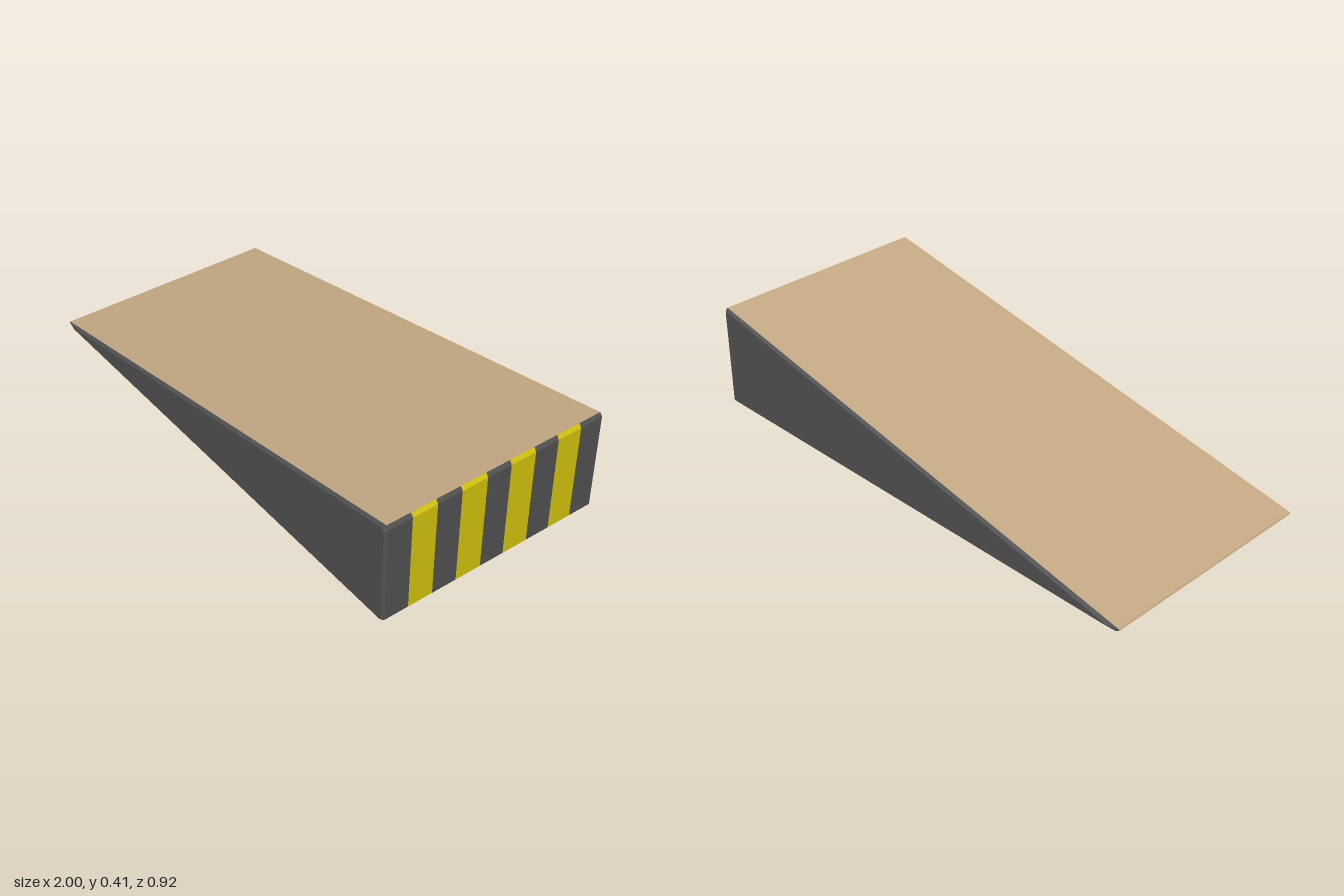
import * as THREE from 'three';

// Wedge profile (x, y), counter-clockwise seen from +z, and its bevelled inset
const RIM = [[-1, 0.008], [-0.985, 0], [0.99, 0], [1, 0.01], [1, 0.396], [0.99, 0.41], [-0.997, 0.014]];
const INSET = [[-0.955, 0.01], [-0.945, 0.008], [0.985, 0.008], [0.99, 0.013], [0.99, 0.39], [0.98, 0.398], [-0.95, 0.012]];
const RIM_Z = 0.45, SIDE_Z = 0.46;

// Flat-shaded mesh from convex polygons given as corner loops
function facesMesh(name, polygons, material) {
  const pos = [];
  for (const p of polygons)
    for (let i = 1; i < p.length - 1; i++) pos.push(...p[0], ...p[i], ...p[i + 1]);
  const geo = new THREE.BufferGeometry();
  geo.setAttribute('position', new THREE.Float32BufferAttribute(pos, 3));
  geo.computeVertexNormals();
  const mesh = new THREE.Mesh(geo, material);
  mesh.name = name;
  return mesh;
}

// Face swept from one profile edge across a range of z
function strip(edge, z0, z1) {
  const a = RIM[edge], b = RIM[(edge + 1) % RIM.length];
  return [[...a, z1], [...a, z0], [...b, z0], [...b, z1]];
}

// Side panel with its bevelled border; s = 1 front, -1 back
function side(s) {
  const at = (p, z) => [p[0], p[1], z * s];
  const polys = [INSET.map(p => at(p, SIDE_Z))];
  RIM.forEach((p, i) => {
    const j = (i + 1) % RIM.length;
    polys.push([at(p, RIM_Z), at(RIM[j], RIM_Z), at(INSET[j], SIDE_Z), at(INSET[i], SIDE_Z)]);
  });
  if (s < 0) polys.forEach(p => p.reverse());
  return polys;
}

export function createModel() {
  const mat = (name, color) => Object.assign(new THREE.MeshStandardMaterial({ color }), { name });
  const wood = mat('wood', 0xc4a984);
  const dark = mat('darkGrey', 0x505050);
  const yellow = mat('yellow', 0xd2c10d);

  const ramp = new THREE.Group();
  ramp.name = 'ramp';

  // Sloping deck, underside and thin leading edge
  ramp.add(facesMesh('deck', [strip(5, -RIM_Z, RIM_Z)], wood));
  ramp.add(facesMesh('underside', [strip(1, -RIM_Z, RIM_Z)], wood));
  ramp.add(facesMesh('leadingEdge', [strip(6, -RIM_Z, RIM_Z), strip(0, -RIM_Z, RIM_Z)], wood));

  // Bevelled side panels
  ramp.add(facesMesh('frontSide', side(1), dark));
  ramp.add(facesMesh('backSide', side(-1), dark));

  // Striped tall end, stripes wrapping over both bevels
  const cuts = [-RIM_Z, -0.355, -0.255, -0.155, -0.05, 0.05, 0.155, 0.255, 0.355, RIM_Z];
  for (let i = 0; i < cuts.length - 1; i++) {
    const polys = [2, 3, 4].map(e => strip(e, cuts[i], cuts[i + 1]));
    ramp.add(facesMesh('endStripe' + (i + 1), polys, i % 2 ? yellow : dark));
  }
  return ramp;
}
